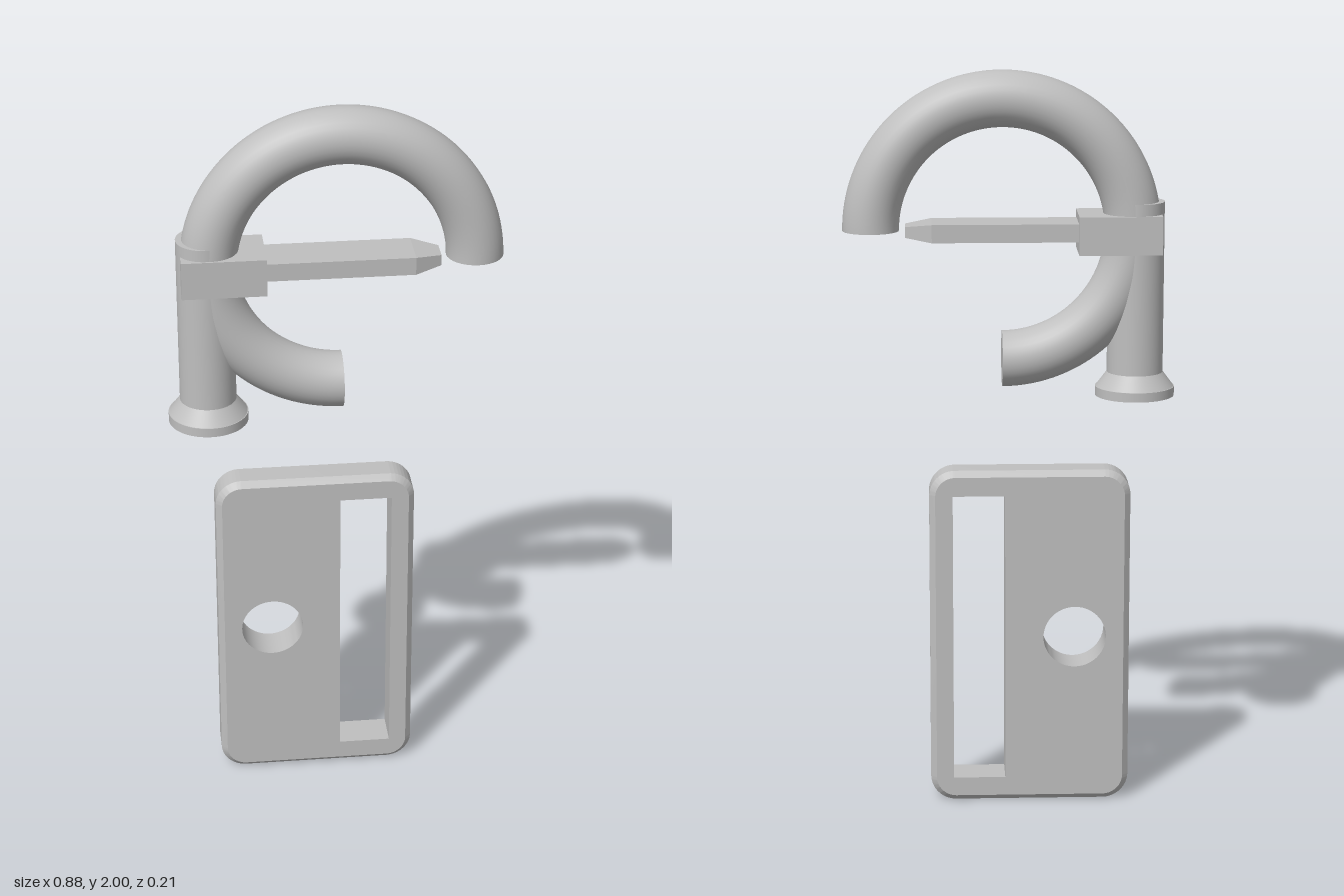
import * as THREE from 'three';
import { toCreasedNormals } from 'three/addons/utils/BufferGeometryUtils.js';

export function createModel() {
  const model = new THREE.Group();
  const grey = new THREE.MeshStandardMaterial({ color: 0xbfbfbf });
  grey.name = 'plain grey';

  function add(name, geometry, x = 0, y = 0, z = 0) {
    const mesh = new THREE.Mesh(geometry, grey);
    mesh.name = name;
    mesh.position.set(x, y, z);
    model.add(mesh);
    return mesh;
  }
  // Cylinder or cone standing between two heights
  function turned(name, rTop, rBottom, y0, y1, x, open = false) {
    add(name, new THREE.CylinderGeometry(rTop, rBottom, y1 - y0, 64, 1, open), x, (y0 + y1) / 2);
  }

  // Three-quarter ring hook with flat ends
  const cx = 0.016, cy = 1.578, R = 0.347, r = 0.075;
  add('hookRing', new THREE.TorusGeometry(R, r, 32, 128, Math.PI * 1.5), cx, cy);
  add('hookTipCap', new THREE.CircleGeometry(r, 48), cx + R, cy).rotation.x = Math.PI / 2;
  add('hookTailCap', new THREE.CircleGeometry(r, 48), cx, cy - R).rotation.y = Math.PI / 2;

  // Upright swivel post on a flared foot
  const postX = -0.34;
  turned('post', r, r, 1.14, 1.653, postX);
  turned('footFlare', r, 0.104, 1.155, 1.194, postX, true);
  turned('footDisc', 0.106, 0.106, 1.13, 1.155, postX);

  // Latch block and its gate bar
  add('latchBlock', new THREE.BoxGeometry(0.22, 0.102, 0.16), -0.295, 1.571);
  add('gateBar', new THREE.BoxGeometry(0.396, 0.048, 0.124), 0.004, 1.577);

  // Tapered tip: a box whose far end is narrowed
  const tip = new THREE.BoxGeometry(0.07, 0.048, 0.124).toNonIndexed();
  const tp = tip.attributes.position;
  for (let i = 0; i < tp.count; i++) {
    if (tp.getX(i) > 0) {
      tp.setY(i, tp.getY(i) * 0.6);
      tp.setZ(i, tp.getZ(i) * 0.5);
    }
  }
  tip.computeVertexNormals();
  add('gateTip', tip, 0.237, 1.577);

  // Plate: rounded outline with a round hole and a long slot
  const x0 = -0.328, x1 = 0.214, y0 = 0, y1 = 0.936;
  const corner = 0.07, chamfer = 0.016, depth = 0.099;
  const a = x0 + chamfer, b = x1 - chamfer, c = y0 + chamfer, d = y1 - chamfer;
  const k = corner - chamfer;
  const outline = new THREE.Shape();
  outline.moveTo(a + k, c);
  outline.absarc(b - k, c + k, k, -Math.PI / 2, 0);
  outline.absarc(b - k, d - k, k, 0, Math.PI / 2);
  outline.absarc(a + k, d - k, k, Math.PI / 2, Math.PI);
  outline.absarc(a + k, c + k, k, Math.PI, Math.PI * 1.5);
  const hole = new THREE.Path();
  hole.absarc(-0.179, 0.471, 0.085, 0, Math.PI * 2, true);
  const slot = new THREE.Path();
  slot.moveTo(0.01, 0.068);
  slot.lineTo(0.01, 0.868);
  slot.lineTo(0.151, 0.868);
  slot.lineTo(0.151, 0.068);
  slot.closePath();
  outline.holes.push(hole, slot);
  let plate = new THREE.ExtrudeGeometry(outline, { depth, steps: 3, bevelEnabled: false, curveSegments: 24 });

  // Chamfer the outer rim only: push the two middle layers of the outline outward
  const pp = plate.attributes.position;
  const levels = [0, chamfer, depth - chamfer, depth];
  for (let i = 0; i < pp.count; i++) {
    const layer = Math.round(pp.getZ(i) / depth * 3);
    const x = pp.getX(i), y = pp.getY(i);
    pp.setZ(i, levels[layer]);
    const dx = x - THREE.MathUtils.clamp(x, a + k, b - k);
    const dy = y - THREE.MathUtils.clamp(y, c + k, d - k);
    const len = Math.hypot(dx, dy);
    if ((layer === 1 || layer === 2) && len > k * 0.8) {
      pp.setXY(i, x + dx / len * chamfer, y + dy / len * chamfer);
    }
  }
  plate = toCreasedNormals(plate, 0.5);
  add('plate', plate, 0, 0, -0.075);

  return model;
}
